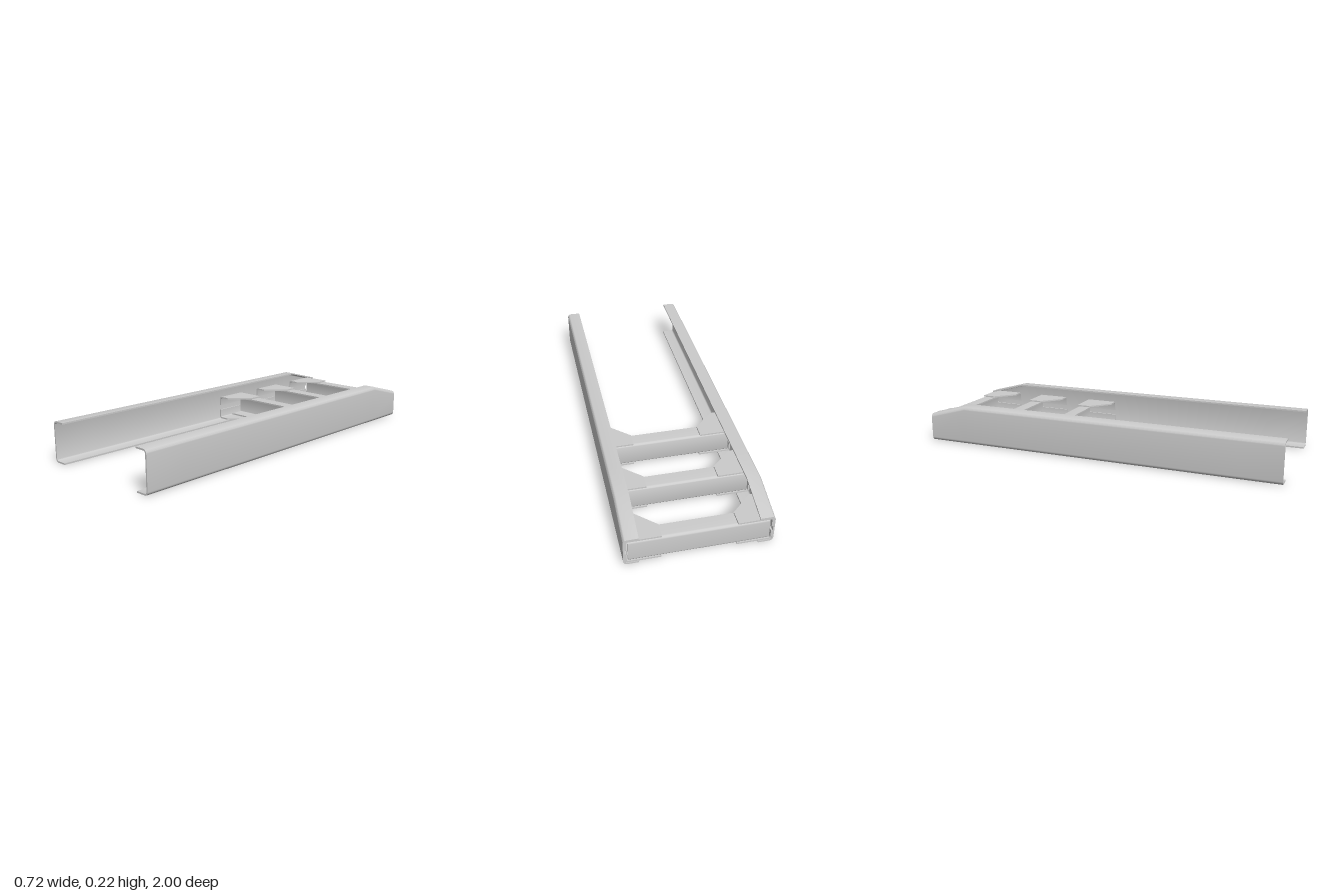
import * as THREE from 'three';
import { toCreasedNormals } from 'three/addons/utils/BufferGeometryUtils.js';

const material = new THREE.MeshStandardMaterial({ color: 0xcccccc });
const T = 0.008; // sheet thickness
const MID = 0.08; // height of the crossmember axis

function arc(cx, cy, r, from, to, n = 6) {
  return Array.from({ length: n + 1 }, (_, i) => {
    const a = THREE.MathUtils.degToRad(from + (to - from) * i / n);
    return [cx + r * Math.cos(a), cy + r * Math.sin(a)];
  });
}

// C section: web at x = 0, flanges toward +x, y from 0 to h
function channelSection(w, h, r) {
  return [
    [w, 0], ...arc(r, r, r, 270, 180), ...arc(r, h - r, r, 180, 90), [w, h],
    [w, h - T], ...arc(r, h - r, r - T, 90, 180), ...arc(r, r, r - T, 180, 270), [w, T],
  ];
}

// L section: lip hanging down at x = 0, flange toward +x
function angleSection(w, top, bottom, r) {
  return [
    [w, top], ...arc(r, top - r, r, 90, 180), [0, bottom],
    [T, bottom], ...arc(r, top - r, r - T, 180, 90), [w, top - T],
  ];
}

function extrude(points, depth, steps = 1) {
  const shape = new THREE.Shape(points.map(([x, y]) => new THREE.Vector2(x, y)));
  return new THREE.ExtrudeGeometry(shape, { depth, steps, bevelEnabled: false });
}

function mesh(name, geometry) {
  const m = new THREE.Mesh(toCreasedNormals(geometry, 0.5), material);
  m.name = name;
  return m;
}

// Side rail whose top slopes down over the last ninth of its length
function rail(side) {
  const section = channelSection(0.074, 0.215, 0.02).map(([x, y]) => [side * (0.36 - x), y]);
  const geometry = extrude(section, 2, 9).translate(0, 0, -1);
  const p = geometry.attributes.position;
  for (let i = 0; i < p.count; i++) {
    if (p.getZ(i) < -0.99 && p.getY(i) > 0.1) p.setY(i, p.getY(i) - 0.06);
  }
  return mesh(side > 0 ? 'leftRail' : 'rightRail', geometry);
}

// Bent corner gusset: angle against the rail web plus a tapered plate on the crossmember
function gusset(side, level, z) {
  const g = new THREE.Group();
  g.name = (level > 0 ? 'upper' : 'lower') + (side > 0 ? 'Left' : 'Right') + 'Gusset';
  const section = angleSection(0.064, 0.068, 0.014, 0.014)
    .map(([x, y]) => [side * (0.352 - x), MID + level * y]);
  g.add(mesh('gussetAngle', extrude(section, 0.175).translate(0, 0, z)));
  const outline = [[0.288, 0], [0.18, 0], [0.18, 0.075], [0.288, 0.175]]
    .map(([x, d]) => [side * x, z + d]);
  const plate = extrude(outline, T).rotateX(Math.PI / 2);
  plate.translate(0, level > 0 ? MID + 0.068 : MID - 0.068 + T, 0);
  g.add(mesh('gussetPlate', plate));
  return g;
}

// Channel opening toward the front, with gussets at its four corners
function crossmember(z) {
  const g = new THREE.Group();
  g.name = 'crossmember';
  const beam = extrude(channelSection(0.08, 0.12, 0.014), 0.672)
    .translate(0, MID - 0.06, -0.336).rotateY(-Math.PI / 2).translate(0, 0, z);
  g.add(mesh('crossBeam', beam));
  for (const side of [-1, 1]) for (const level of [-1, 1]) g.add(gusset(side, level, z));
  return g;
}

export function createModel() {
  const model = new THREE.Group();
  model.name = 'ladderFrame';
  for (const side of [-1, 1]) model.add(rail(side));
  for (const z of [-1, -0.667, -0.334]) model.add(crossmember(z));
  return model;
}
